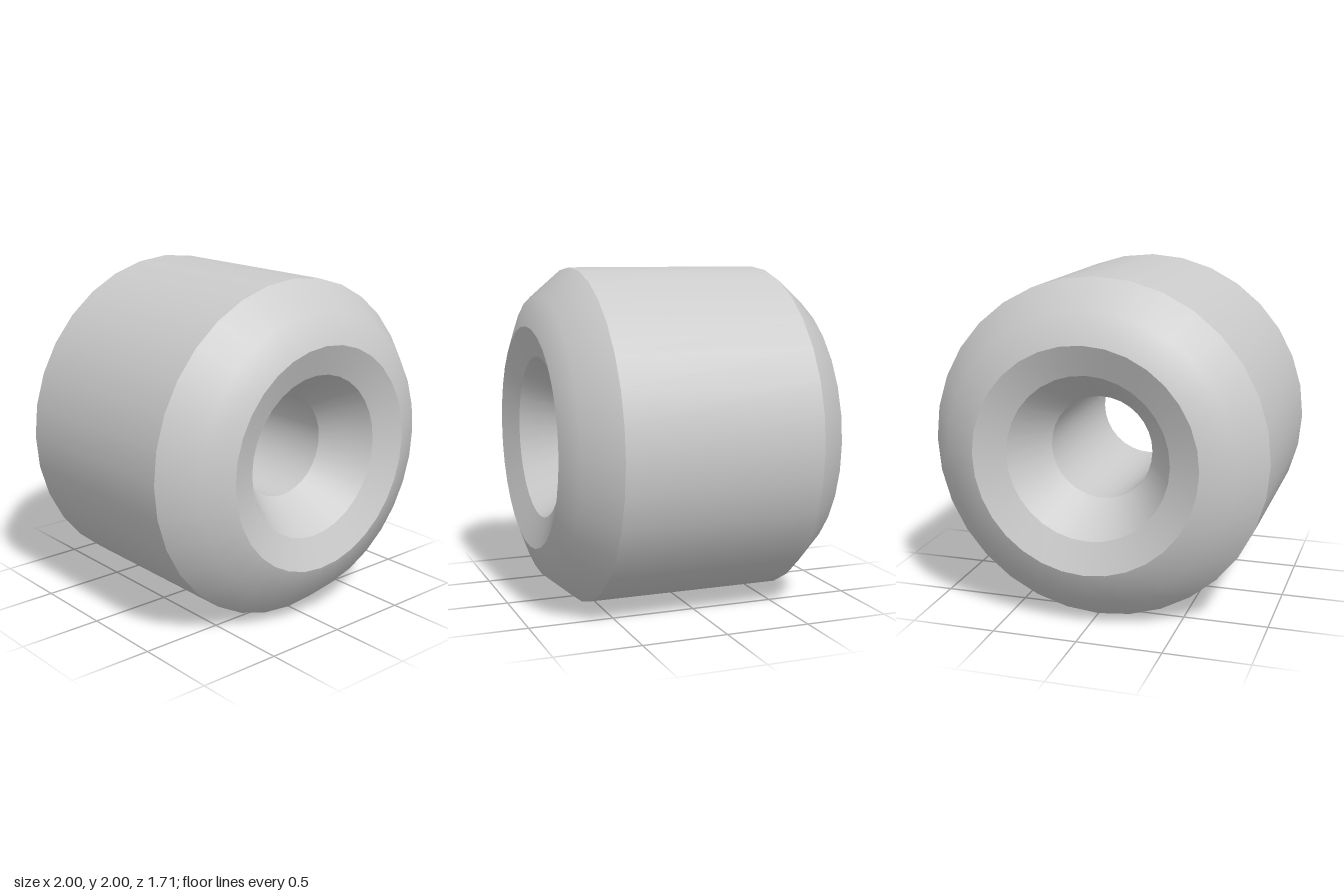
import * as THREE from 'three';

const SIDES = 32;

export function createModel() {
  const model = new THREE.Group();
  model.name = 'bead';
  const material = new THREE.MeshStandardMaterial({ color: 0xcccccc });

  // Front half of the cross-section as [radius, z], one entry per smooth band
  const bevel = [[1, 0.59], [0.84, 0.785], [0.66, 0.857]];
  const lip = [[0.66, 0.857], [0.48, 0.787]];
  const funnel = [[0.48, 0.787], [0.305, 0.51]];

  // Revolves a band around z; separate bands keep the edges between them sharp
  const addBand = (name, points) => {
    const geometry = new THREE.LatheGeometry(points.map(([r, z]) => new THREE.Vector2(r, z)), SIDES);
    geometry.rotateX(Math.PI / 2);
    const mesh = new THREE.Mesh(geometry, material);
    mesh.name = name;
    mesh.position.y = 1;
    model.add(mesh);
  };

  // Back bands run in reverse so that their faces still point outwards
  const mirrored = (points) => points.map(([r, z]) => [r, -z]).reverse();

  addBand('outerWall', [[1, -0.59], [1, 0.59]]);
  addBand('boreWall', [[0.305, 0.51], [0.305, -0.51]]);
  for (const [name, points] of [['Bevel', bevel], ['Lip', lip], ['Funnel', funnel]]) {
    addBand('front' + name, points);
    addBand('back' + name, mirrored(points));
  }
  return model;
}
